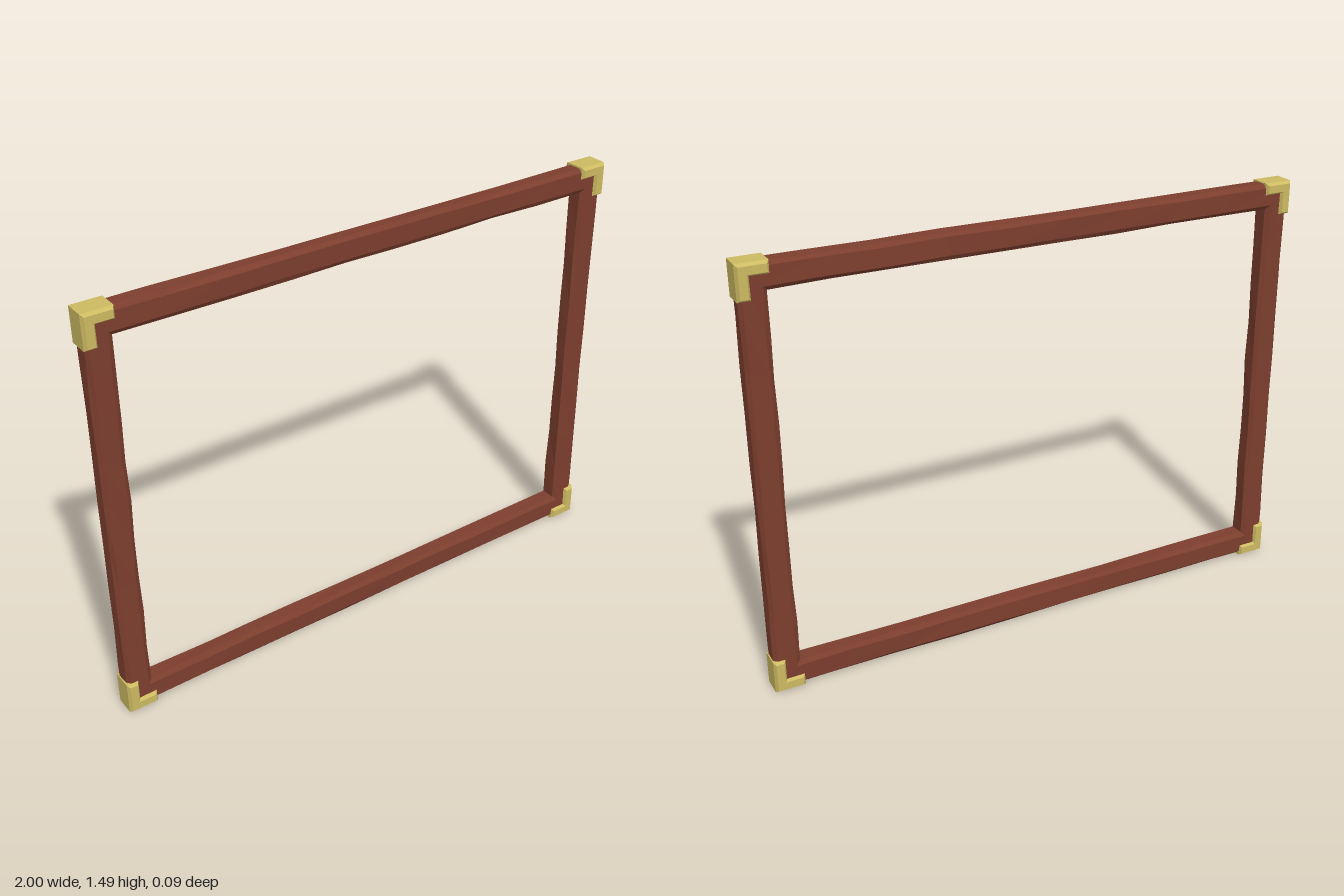
import * as THREE from 'three';

const HALF_W = 1, HALF_H = 0.745;

export function createModel() {
  const wood = new THREE.MeshStandardMaterial({ color: 0x7c3e2e, flatShading: true });
  wood.name = 'reddish wood';
  const brass = new THREE.MeshStandardMaterial({ color: 0xccba62, flatShading: true });
  brass.name = 'brass';

  let seed = 7;
  const wobble = (amount) => {
    seed = (seed * 16807) % 2147483647;
    return (seed / 2147483647 - 0.5) * 2 * amount;
  };

  // Chamfered bar section: [distance in from the outer edge, z]
  const section = [
    [0.005, -0.022], [0.018, -0.035], [0.08, -0.035], [0.095, -0.024],
    [0.095, 0.024], [0.08, 0.034], [0.018, 0.034], [0.005, 0.022],
  ];

  // Hand-hewn bar, mitred at both ends, lying along the top edge before rotation
  function barGeometry(halfLength, outer) {
    const steps = 9, n = section.length, positions = [], index = [];
    for (let i = 0; i <= steps; i++) {
      const t = (i / steps) * 2 - 1;
      const inside = i > 0 && i < steps;
      const swell = 0.94 + 0.12 * t * t;
      for (const [u0, z0] of section) {
        const u = u0 + (inside ? wobble(0.0025) : 0);
        const z = z0 * swell + (inside ? wobble(0.0018) : 0);
        positions.push(t * (halfLength - u), outer - u, z);
      }
    }
    for (let i = 0; i < steps; i++) {
      for (let j = 0; j < n; j++) {
        const a = i * n + j, b = i * n + (j + 1) % n;
        index.push(a, b + n, b, a, a + n, b + n);
      }
    }
    const g = new THREE.BufferGeometry();
    g.setAttribute('position', new THREE.Float32BufferAttribute(positions, 3));
    g.setIndex(index);
    g.computeVertexNormals();
    return g;
  }

  const model = new THREE.Group();
  model.name = 'frame';

  // Four wooden bars
  ['topBar', 'leftBar', 'bottomBar', 'rightBar'].forEach((name, k) => {
    const upright = k % 2 === 1;
    const g = upright ? barGeometry(HALF_H, HALF_W) : barGeometry(HALF_W, HALF_H);
    g.rotateZ(-k * Math.PI / 2);
    const bar = new THREE.Mesh(g, wood);
    bar.name = name;
    bar.position.y = HALF_H;
    model.add(bar);
  });

  // L-shaped corner cap with bevelled edges, drawn for the +x, +y corner
  function capGeometry(sx, sy) {
    const b = 0.008, arm = 0.043, lenX = 0.105, lenY = 0.118;
    let pts = [
      [-b, -b], [-lenX + b, -b], [-lenX + b, -arm + b],
      [-arm + b, -arm + b], [-arm + b, -lenY + b], [-b, -lenY + b],
    ].map(([x, y]) => new THREE.Vector2(x * sx, y * sy));
    if (sx * sy < 0) pts = pts.reverse();
    const g = new THREE.ExtrudeGeometry(new THREE.Shape(pts), {
      depth: 0.07, bevelEnabled: true, bevelSize: b, bevelThickness: 0.012, bevelSegments: 1,
    });
    g.translate(0, 0, -0.035);
    return g;
  }

  // Four brass corners
  for (const sx of [-1, 1]) {
    for (const sy of [-1, 1]) {
      const cap = new THREE.Mesh(capGeometry(sx, sy), brass);
      cap.name = (sy > 0 ? 'top' : 'bottom') + (sx > 0 ? 'Left' : 'Right') + 'Corner';
      cap.position.set(sx * HALF_W, HALF_H + sy * HALF_H, 0);
      model.add(cap);
    }
  }
  return model;
}
